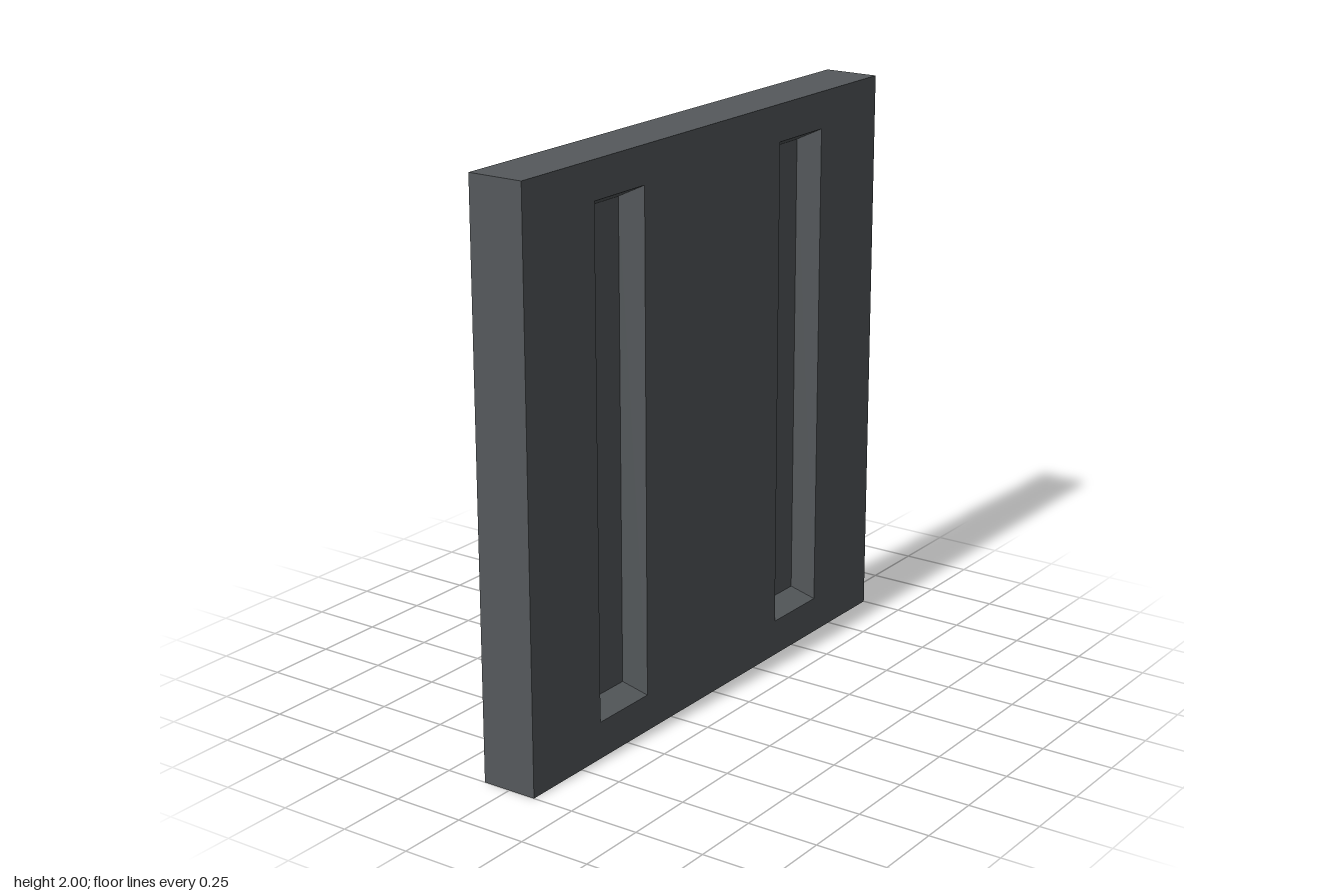
import * as THREE from 'three';

const HALF_DEPTH = 0.1;
const RECESS_DEPTH = 0.08;
const OUTER = { w: 0.26, h: 1.74 }; // recess rim
const INNER = { w: 0.2, h: 1.66 }; // recess floor
const RECESS_X = 0.517;

// Rectangle corners, counter-clockwise seen from the front
function corners(cx, { w, h }) {
  return [[-1, -1], [1, -1], [1, 1], [-1, 1]].map(
    ([sx, sy]) => new THREE.Vector2(cx + sx * w / 2, 1 + sy * h / 2));
}

// Sloping walls and flat floor of one recess
function recessGeometry(cx) {
  const rim = corners(cx, OUTER).map(p => [p.x, p.y, HALF_DEPTH]);
  const floor = corners(cx, INNER).map(p => [p.x, p.y, HALF_DEPTH - RECESS_DEPTH]);
  const points = [];
  const quad = (a, b, c, d) => points.push(...a, ...b, ...c, ...a, ...c, ...d);
  for (let i = 0; i < 4; i++) {
    const j = (i + 1) % 4;
    quad(rim[i], rim[j], floor[j], floor[i]);
  }
  quad(...floor);
  const geometry = new THREE.BufferGeometry();
  geometry.setAttribute('position', new THREE.Float32BufferAttribute(points, 3));
  geometry.computeVertexNormals();
  return geometry;
}

export function createModel() {
  const group = new THREE.Group();
  group.name = 'recessedPanel';
  const darkGrey = new THREE.MeshStandardMaterial({ color: 0x55595c });
  darkGrey.name = 'darkGrey';
  const add = (name, geometry) => {
    const mesh = new THREE.Mesh(geometry, darkGrey);
    mesh.name = name;
    group.add(mesh);
    return mesh;
  };

  // Slab edges and back: a box without its front face
  const box = new THREE.BoxGeometry(2, 2, HALF_DEPTH * 2);
  const index = Array.from(box.index.array);
  index.splice(24, 6);
  box.setIndex(index);
  box.clearGroups();
  add('slab', box).position.y = 1;

  // Front face, cut out around the recesses
  const front = new THREE.Shape(corners(0, { w: 2, h: 2 }));
  for (const side of [-1, 1]) {
    front.holes.push(new THREE.Path(corners(side * RECESS_X, OUTER).reverse()));
    add(side > 0 ? 'leftRecess' : 'rightRecess', recessGeometry(side * RECESS_X));
  }
  add('frontFace', new THREE.ShapeGeometry(front)).position.z = HALF_DEPTH;

  return group;
}
